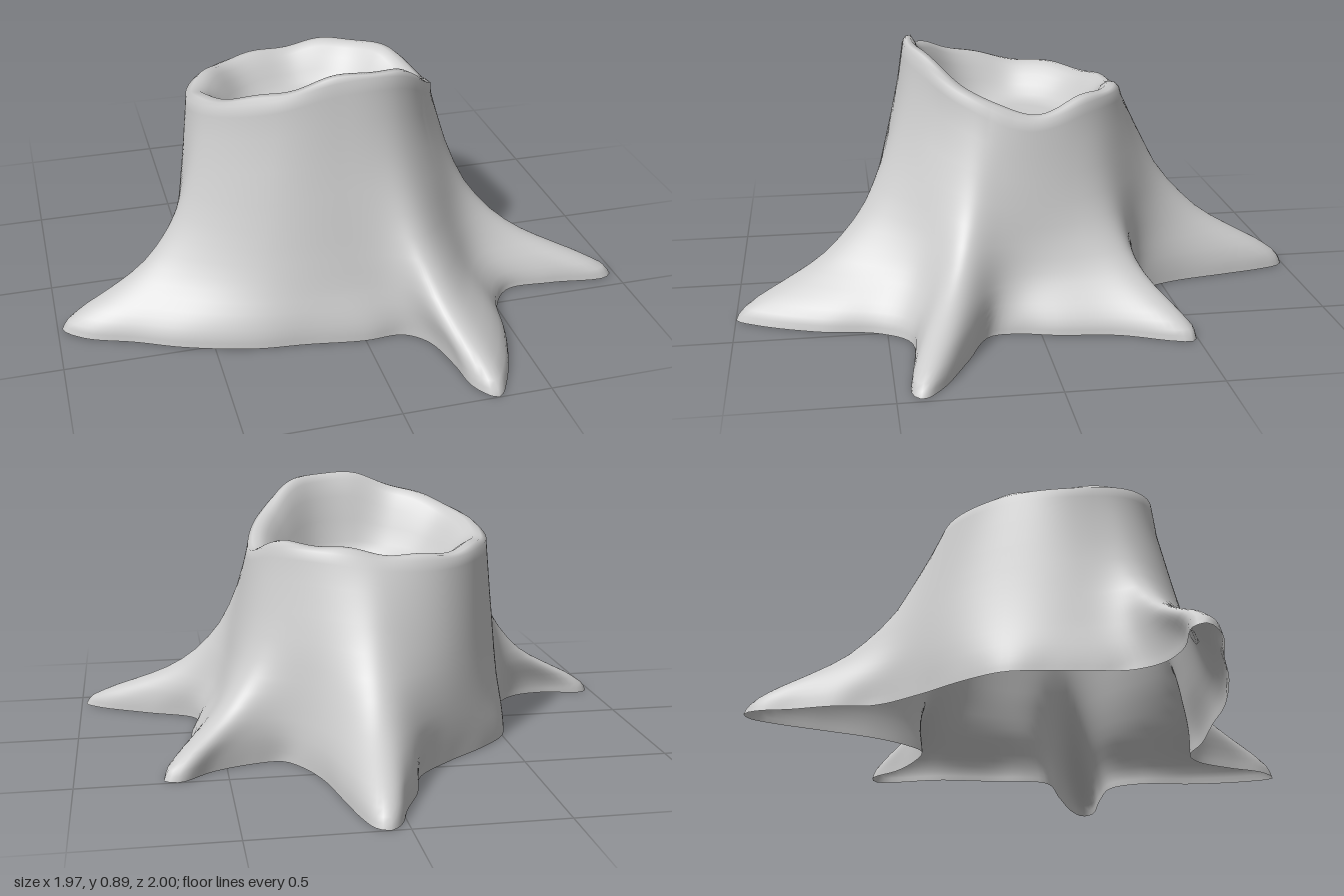
import * as THREE from 'three';

const CX = -0.05, CZ = 0.01; // trunk axis
const N = 260;               // samples round the stump

// ground outline of the flared roots, [x, z], from the back root round by -x
const OUTLINE = [
  [0.06, -1], [0.02, -0.96], [-0.02, -0.85], [-0.08, -0.72], [-0.12, -0.58], [-0.25, -0.45],
  [-0.4, -0.33], [-0.5, -0.22], [-0.54, -0.08], [-0.57, 0.05], [-0.6, 0.16], [-0.68, 0.24],
  [-0.8, 0.265], [-0.95, 0.24], [-0.985, 0.27], [-0.92, 0.34], [-0.75, 0.41], [-0.6, 0.48],
  [-0.37, 0.55], [-0.2, 0.57], [0, 0.6], [0.13, 0.6], [0.2, 0.66], [0.24, 0.8], [0.26, 0.93],
  [0.32, 1], [0.38, 0.92], [0.46, 0.72], [0.5, 0.53], [0.58, 0.43], [0.75, 0.43], [0.95, 0.45],
  [0.985, 0.42], [0.93, 0.36], [0.75, 0.26], [0.58, 0.17], [0.57, 0.08], [0.6, -0.05],
  [0.63, -0.25], [0.7, -0.42], [0.71, -0.48], [0.66, -0.5], [0.55, -0.42], [0.42, -0.37],
  [0.31, -0.36], [0.25, -0.43], [0.2, -0.55], [0.16, -0.75], [0.13, -0.9], [0.1, -0.98],
];

// values every 30 degrees from +x towards +z
const RIM_HEIGHT = [0.67, 0.755, 0.86, 0.865, 0.81, 0.755, 0.7, 0.685, 0.675, 0.685, 0.71, 0.71];
const RIM_RADIUS = [0.43, 0.43, 0.42, 0.385, 0.405, 0.43, 0.43, 0.41, 0.4, 0.38, 0.4, 0.42];
const FLOOR_RADIUS = [0.26, 0.27, 0.29, 0.27, 0.25, 0.24, 0.23, 0.23, 0.22, 0.22, 0.23, 0.25];
const ROOT_RISE = [0.9, 0.9, 0.95, 0.95, 1, 1, 1, 1, 1.1, 1.2, 1.05, 0.9];

// smooth periodic lookup
function around(table, angle) {
  const n = table.length;
  const u = ((angle / (2 * Math.PI)) % 1 + 1) % 1 * n;
  const i = Math.floor(u), t = u - i;
  const [a, b, c, d] = [-1, 0, 1, 2].map(k => table[(i + k + n) % n]);
  return b + 0.5 * t * (c - a + t * (2 * a - 5 * b + 4 * c - d + t * (3 * (b - c) + d - a)));
}

// weighted mean of neighbouring samples
function blur(valueAt, i, sigma) {
  const reach = Math.ceil(2.5 * sigma);
  let sum = 0, total = 0;
  for (let k = -reach; k <= reach; k++) {
    const w = Math.exp(-k * k / (2 * sigma * sigma + 1e-6));
    sum += w * valueAt(i + k);
    total += w;
  }
  return sum / total;
}

// how far the roots still reach out at a given height
const FLARE = [[0, 1], [0.04, 0.97], [0.08, 0.87], [0.12, 0.73], [0.16, 0.59], [0.2, 0.48],
  [0.27, 0.35], [0.35, 0.24], [0.5, 0.11], [0.68, 0], [2, 0]];
function flare(y) {
  const k = FLARE.findIndex(p => p[0] > y);
  const [a, b] = [FLARE[k - 1], FLARE[k]];
  return a[1] + (b[1] - a[1]) * (y - a[0]) / (b[0] - a[0]);
}

function stumpGeometry() {
  const curve = new THREE.CatmullRomCurve3(
    OUTLINE.map(([x, z]) => new THREE.Vector3(x, 0, z)), true, 'centripetal');
  const base = curve.getSpacedPoints(N).slice(0, N);
  const wrap = i => (i + N) % N;

  // unwrapped angle of each outline sample, blurred so roots blend into the trunk
  const raw = [];
  base.forEach((p, i) => {
    let a = Math.atan2(p.z - CZ, p.x - CX);
    if (i) a = raw[i - 1] + Math.atan2(Math.sin(a - raw[i - 1]), Math.cos(a - raw[i - 1]));
    raw.push(a);
  });
  const angles = base.map((_, i) =>
    blur(k => raw[wrap(k)] - 2 * Math.PI * Math.floor(k / N), i, 11));

  const pos = [];
  // outer bark, ground to rim: the outline softens and draws in with height
  const levels = [0, 0.025, 0.05, 0.08, 0.11, 0.14, 0.18, 0.22, 0.27, 0.33, 0.4, 0.48, 0.58, 0.7, 0.84, 0.95, 1];
  for (const t of levels) {
    const sigma = Math.min(17 * t, 10);
    angles.forEach((a, i) => {
      const y = t * around(RIM_HEIGHT, a);
      const rise = around(ROOT_RISE, a);
      const f = flare(y / (rise + (1 - rise) * t));
      const taper = (0.03 + 0.1 * Math.sin(a) ** 2) * (1 - t);
      const r = around(RIM_RADIUS, a) + taper;
      const x = CX + r * Math.cos(a), z = CZ + r * Math.sin(a);
      const bx = blur(k => base[wrap(k)].x, i, sigma), bz = blur(k => base[wrap(k)].z, i, sigma);
      pos.push(x + (bx - x) * f, y, z + (bz - z) * f);
    });
  }
  // rounded lip, hollow wall and floor: [blend to floor radius, blend to floor height, lift]
  const FLOOR = 0.57;
  const hollow = [[0.1, 0, 0.012], [0.25, 0, 0.015], [0.4, 0.06, 0.005], [0.55, 0.25, 0],
    [0.7, 0.53, 0], [0.85, 0.8, 0], [1, 0.94, 0], [1.2, 1, 0]];
  for (const [k, d, lift] of hollow) {
    for (const a of angles) {
      const H = around(RIM_HEIGHT, a), R = around(RIM_RADIUS, a);
      const r = R + (around(FLOOR_RADIUS, a) - R) * k;
      const wobble = 0.005 * Math.sin(9 * a) * (1 - d);
      pos.push(CX + r * Math.cos(a), H + (FLOOR - H) * d + lift + wobble, CZ + r * Math.sin(a));
    }
  }
  const index = [];
  const last = (levels.length + hollow.length - 1) * N;
  for (let row = 0; row < last; row += N) {
    for (let i = 0; i < N; i++) {
      const a = row + i, b = row + (i + 1) % N;
      index.push(a, b, b + N, a, b + N, a + N);
    }
  }
  // floor closes on a centre point
  const centre = pos.length / 3;
  pos.push(CX, FLOOR - 0.005, CZ);
  for (let i = 0; i < N; i++) index.push(last + i, last + (i + 1) % N, centre);

  const g = new THREE.BufferGeometry();
  g.setAttribute('position', new THREE.Float32BufferAttribute(pos, 3));
  g.setIndex(index);
  g.computeVertexNormals();
  return g;
}

export function createModel() {
  const group = new THREE.Group();
  group.name = 'treeStump';
  // open underneath, so both sides show
  const wood = new THREE.MeshStandardMaterial({ color: 0xcccccc, side: THREE.DoubleSide });
  wood.name = 'paleGreyWood';
  const stump = new THREE.Mesh(stumpGeometry(), wood);
  stump.name = 'hollowStumpWithRoots';
  group.add(stump);
  return group;
}
